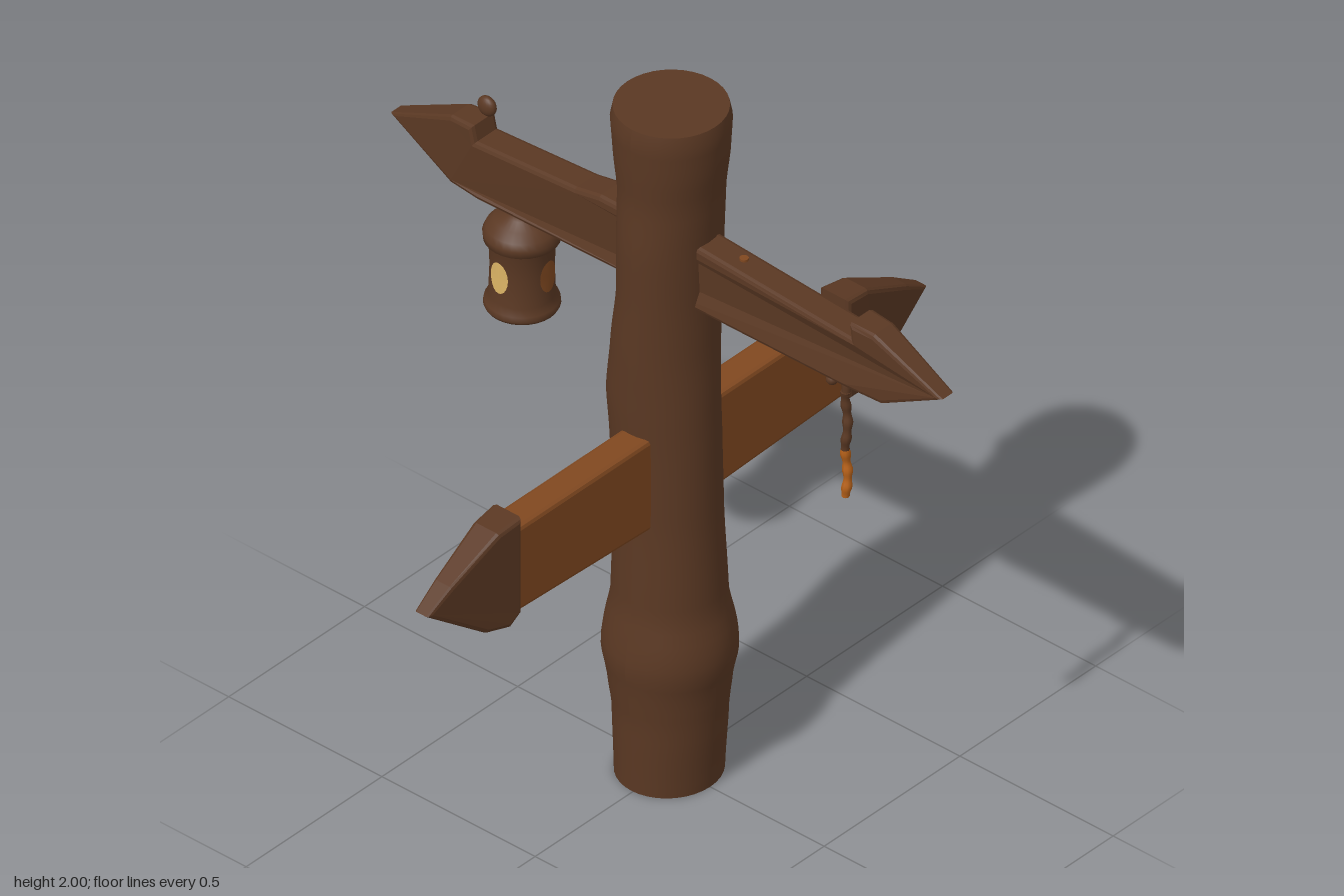
import * as THREE from 'three';

const mat = (name, hex, side = THREE.FrontSide) => {
  const m = new THREE.MeshStandardMaterial({ color: hex, side });
  m.name = name;
  return m;
};

// Bevelled board cut from an outline, thinning towards its tips
function board(outline, half, taperFrom, tip, tipHalf) {
  const bevel = 0.012;
  const shape = new THREE.Shape(outline.map(([x, y]) => new THREE.Vector2(x, y)));
  const geo = new THREE.ExtrudeGeometry(shape, {
    depth: 2 * (half - bevel), bevelEnabled: true, bevelThickness: bevel,
    bevelSize: bevel, bevelOffset: -bevel, bevelSegments: 2, curveSegments: 4
  });
  geo.translate(0, 0, -(half - bevel));
  const p = geo.attributes.position;
  for (let i = 0; i < p.count; i++) {
    const t = THREE.MathUtils.clamp((Math.abs(p.getX(i)) - taperFrom) / (tip - taperFrom), 0, 1);
    p.setZ(i, p.getZ(i) * (1 - t * (1 - tipHalf / half)));
  }
  geo.computeVertexNormals();
  return geo;
}

// Gnarled post: rings of [y, x min, x max, z min, z max]
const RINGS = [
  [0, -0.138, 0.128, -0.14, 0.14], [0.2, -0.145, 0.143, -0.143, 0.145],
  [0.3, -0.16, 0.153, -0.155, 0.155], [0.38, -0.178, 0.17, -0.167, 0.166],
  [0.43, -0.172, 0.167, -0.162, 0.16], [0.54, -0.15, 0.143, -0.142, 0.143],
  [0.8, -0.143, 0.132, -0.13, 0.133], [1.0, -0.156, 0.13, -0.128, 0.135],
  [1.14, -0.165, 0.127, -0.128, 0.14], [1.3, -0.146, 0.121, -0.133, 0.142],
  [1.45, -0.126, 0.12, -0.138, 0.142], [1.62, -0.125, 0.124, -0.142, 0.145],
  [1.76, -0.128, 0.131, -0.14, 0.138], [1.88, -0.143, 0.146, -0.148, 0.146],
  [1.97, -0.15, 0.151, -0.152, 0.15], [2.0, -0.143, 0.144, -0.145, 0.143]
];

function ringAt(y) {
  let i = 0;
  while (i < RINGS.length - 2 && y > RINGS[i + 1][0]) i++;
  const a = RINGS[i], b = RINGS[i + 1];
  const t = THREE.MathUtils.smoothstep(y, a[0], b[0]) * 0.4 + 0.6 * (y - a[0]) / (b[0] - a[0]);
  return a.map((v, k) => v + (b[k] - v) * t);
}

function postGeometry() {
  const geo = new THREE.CylinderGeometry(1, 1, 2, 36, 60);
  geo.translate(0, 1, 0);
  const p = geo.attributes.position;
  for (let i = 0; i < p.count; i++) {
    const [, x0, x1, z0, z1] = ringAt(THREE.MathUtils.clamp(p.getY(i), 0, 2));
    p.setX(i, (x0 + x1) / 2 + p.getX(i) * (x1 - x0) / 2);
    p.setZ(i, (z0 + z1) / 2 + p.getZ(i) * (z1 - z0) / 2);
  }
  geo.computeVertexNormals();
  return geo;
}

export function createModel() {
  const root = new THREE.Group();
  root.name = 'signpost';
  const wood = mat('dark wood', 0x5a3823);
  const plank = mat('orange wood', 0x804820);
  const glow = mat('pale glow', 0xdcb465, THREE.DoubleSide);
  const amber = mat('amber', 0xb8621a, THREE.DoubleSide);

  const add = (name, geo, material, parent = root) => {
    const mesh = new THREE.Mesh(geo, material);
    mesh.name = name;
    parent.add(mesh);
    return mesh;
  };

  add('post', postGeometry(), wood);
  const knot = add('postKnot', new THREE.SphereGeometry(0.035, 16, 12), wood);
  knot.position.set(-0.122, 1.86, 0);
  knot.scale.y = 1.2;

  // Upper board with an arrowhead at both ends
  const upper = [
    [-0.9, 1.55], [-0.69, 1.65], [-0.615, 1.655], [-0.605, 1.612], [-0.28, 1.632],
    [-0.2, 1.647], [0.1, 1.645], [0.62, 1.61], [0.615, 1.655], [0.69, 1.652],
    [0.9, 1.55], [0.715, 1.455], [0.6, 1.455], [0, 1.452], [-0.6, 1.443], [-0.69, 1.448]
  ];
  add('upperBoard', board(upper, 0.045, 0.62, 0.9, 0.024), wood).position.z = -0.004;

  // Lower board running front to back
  const lower = new THREE.Group();
  lower.name = 'lowerBoard';
  lower.rotation.y = -Math.PI / 2;
  root.add(lower);
  const middle = [[-0.62, 0.82], [0, 0.795], [0.62, 0.82], [0.62, 1.072], [-0.62, 1.072]];
  add('plank', board(middle, 0.044, 1, 2, 0.04), plank, lower);
  const heads = {
    frontArrowhead: [[0.92, 0.96], [0.84, 1.01], [0.68, 1.09], [0.6, 1.1], [0.6, 0.815], [0.64, 0.788], [0.72, 0.81]],
    backArrowhead: [[-0.92, 0.96], [-0.84, 1.01], [-0.68, 1.09], [-0.6, 1.1], [-0.6, 0.8], [-0.68, 0.793], [-0.73, 0.82]]
  };
  for (const [name, outline] of Object.entries(heads))
    add(name, board(outline, 0.048, 0.62, 0.92, 0.022), wood, lower);

  // Hanging lantern
  const lantern = new THREE.Group();
  lantern.name = 'lantern';
  lantern.position.set(-0.49, 0, -0.005);
  root.add(lantern);
  const profile = [
    [0, 1.16], [0.092, 1.16], [0.096, 1.168], [0.094, 1.182], [0.083, 1.2], [0.08, 1.28],
    [0.083, 1.355], [0.096, 1.362], [0.098, 1.382], [0.09, 1.4], [0.07, 1.42], [0.04, 1.432],
    [0.034, 1.448], [0.03, 1.47]
  ].map(([r, y]) => new THREE.Vector2(r, y));
  add('lanternBody', new THREE.LatheGeometry(profile, 28), wood, lantern);

  // Oval panes curved around the lantern
  [glow, plank, amber, plank].forEach((material, i) => {
    const geo = new THREE.CircleGeometry(1, 20);
    const p = geo.attributes.position;
    for (let k = 0; k < p.count; k++) {
      const a = p.getX(k) * 0.32 + i * Math.PI / 2;
      p.setXYZ(k, Math.sin(a) * 0.088, 1.283 + p.getY(k) * 0.046, Math.cos(a) * 0.088);
    }
    geo.computeVertexNormals();
    add('lanternPane', geo, material, lantern);
  });

  // Bead above the arrowhead
  const bead = add('bead', new THREE.SphereGeometry(0.028, 16, 12), wood);
  bead.position.set(-0.605, 1.7, -0.006);
  bead.scale.z = 0.6;

  // Hook and hanging cord with a lumpy twist
  const path = pts => new THREE.CatmullRomCurve3(pts.map(([x, y, z = 0]) => new THREE.Vector3(x, y, z)));
  add('cordHook', new THREE.TubeGeometry(path([[0.525, 1.42], [0.528, 1.445], [0.55, 1.455], [0.57, 1.435], [0.573, 1.4]]), 20, 0.012, 8), wood);
  add('hookTip', new THREE.SphereGeometry(0.016, 12, 8), wood).position.set(0.526, 1.425, 0);
  const cord = (name, top, bottom, material) => {
    const geo = new THREE.CylinderGeometry(0.012, 0.012, top - bottom, 8, 24);
    geo.translate(0, (top + bottom) / 2, 0);
    const p = geo.attributes.position;
    for (let i = 0; i < p.count; i++) {
      const y = p.getY(i), s = 1 + 0.15 * Math.sin(y * 130);
      p.setXYZ(i, 0.573 + p.getX(i) * s + 0.003 * Math.sin(y * 40), y, p.getZ(i) * s + 0.003 * Math.cos(y * 40));
    }
    geo.computeVertexNormals();
    add(name, geo, material);
  };
  cord('upperCord', 1.41, 1.235, wood);
  cord('lowerCord', 1.235, 1.095, amber);

  // Small peg on top of the upper board
  const peg = add('peg', new THREE.CylinderGeometry(0.012, 0.012, 0.008, 10), plank);
  peg.position.set(0.23, 1.638, -0.01);

  return root;
}
